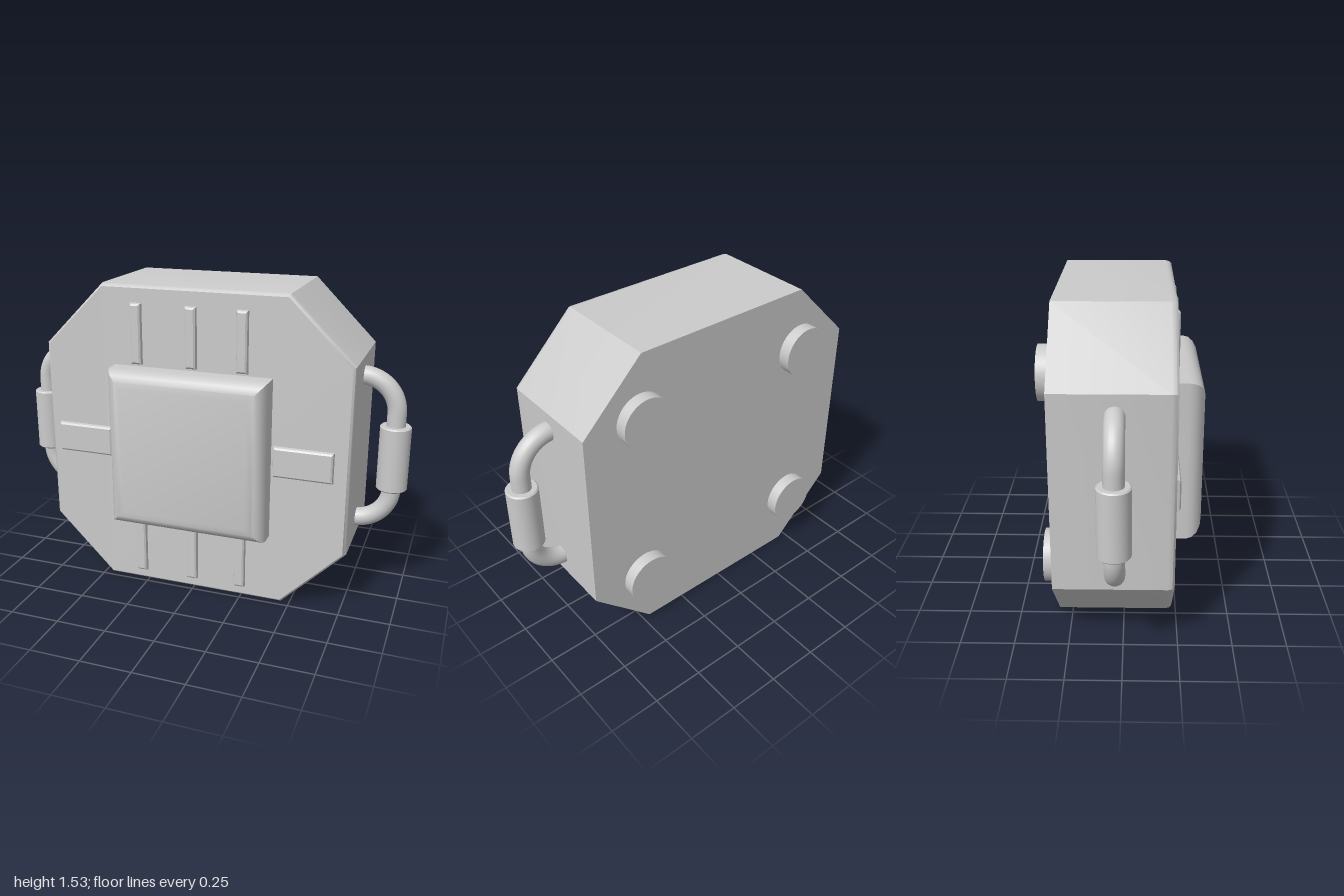
import * as THREE from 'three';
import { toCreasedNormals } from 'three/addons/utils/BufferGeometryUtils.js';

const material = new THREE.MeshStandardMaterial({ color: 0xcccccc });

// Convex outline (counterclockwise, from the inset) lofted through [z, inset] sections, closed at both ends
function loft(outline, sections, crease) {
  const rings = sections.map(([z, inset]) => outline(inset).map(([x, y]) => [x, y, z]));
  const n = rings[0].length;
  const index = [];
  for (let r = 0; r < rings.length - 1; r++) {
    for (let i = 0; i < n; i++) {
      const j = (i + 1) % n, a = r * n + i, b = r * n + j;
      index.push(a, b, b + n, a, b + n, a + n);
    }
  }
  const last = (rings.length - 1) * n;
  for (let i = 1; i < n - 1; i++) {
    index.push(0, i + 1, i);
    index.push(last, last + i, last + i + 1);
  }
  const geometry = new THREE.BufferGeometry();
  geometry.setAttribute('position', new THREE.Float32BufferAttribute(rings.flat(2), 3));
  geometry.setIndex(index);
  return toCreasedNormals(geometry, crease);
}

const rectangle = (w, h) => (inset) => {
  const x = w / 2 - inset, y = h / 2 - inset;
  return [[-x, -y], [x, -y], [x, y], [-x, y]];
};

// Octagon with wide diagonal corners
const octagon = (inset) => {
  const f = 0.766 - inset, c = 0.46 - inset * 0.41;
  return [[-c, -f], [c, -f], [f, -c], [f, c], [c, f], [-c, f], [-f, c], [-f, -c]];
};

export function createModel() {
  const model = new THREE.Group();
  const add = (name, geometry, x, y, z, parent = model) => {
    const mesh = new THREE.Mesh(geometry, material);
    mesh.name = name;
    mesh.position.set(x, y, z);
    parent.add(mesh);
    return mesh;
  };
  const midY = 0.766;

  // Body, chamfered at the front only
  add('body', loft(octagon, [[-0.315, 0], [0.2, 0], [0.22, 0.004], [0.23, 0.014]], 0.6), 0, midY, 0);

  // Raised square panel with rounded edges
  const panelSections = [[0.2, 0]];
  for (let i = 0; i <= 4; i++) {
    const a = (i / 4) * Math.PI / 2;
    panelSections.push([0.295 + 0.075 * Math.sin(a), 0.08 * (1 - Math.cos(a))]);
  }
  add('frontPanel', loft(rectangle(0.787, 0.79), panelSections, 0.6), -0.002, 0.75, 0);

  // Thin raised strips around the panel
  const strip = (w, h) => loft(rectangle(w, h), [[0.2, 0], [0.232, 0], [0.244, 0.004], [0.25, 0.012]], 0.6);
  for (const x of [-0.28, -0.005, 0.245]) {
    add('upperRib', strip(0.058, 0.295), x, 1.302, 0);
    add('lowerRib', strip(0.058, 0.29), x, 0.2, 0);
  }
  add('rightStrip', strip(0.29, 0.153), -0.568, 0.745, 0);
  add('leftStrip', strip(0.29, 0.153), 0.546, 0.745, 0);

  // Round feet on the back
  const footGeometry = new THREE.CylinderGeometry(0.125, 0.125, 0.08, 40).rotateX(Math.PI / 2);
  for (const x of [-0.473, 0.473]) {
    for (const y of [0.31, 1.22]) add('backFoot', footGeometry, x, y, -0.333);
  }

  // Side handles: bent rod with a thicker grip
  const top = 1.13, bottom = 0.403, outer = 0.926, r = 0.17;
  const v = (x, y) => new THREE.Vector3(x, y, 0);
  const k = r * 0.448;
  const path = new THREE.CurvePath();
  path.add(new THREE.LineCurve3(v(0.7, top), v(outer - r, top)));
  path.add(new THREE.CubicBezierCurve3(v(outer - r, top), v(outer - k, top), v(outer, top - k), v(outer, top - r)));
  path.add(new THREE.LineCurve3(v(outer, top - r), v(outer, bottom + r)));
  path.add(new THREE.CubicBezierCurve3(v(outer, bottom + r), v(outer, bottom + k), v(outer - k, bottom), v(outer - r, bottom)));
  path.add(new THREE.LineCurve3(v(outer - r, bottom), v(0.7, bottom)));
  const rodGeometry = new THREE.TubeGeometry(path, 72, 0.045, 20);
  const gripProfile = [[0, -0.16], [0.068, -0.16], [0.074, -0.154], [0.074, 0.154], [0.068, 0.16], [0, 0.16]]
    .map(([x, y]) => new THREE.Vector2(x, y));
  const gripGeometry = toCreasedNormals(new THREE.LatheGeometry(gripProfile, 32), 0.5);
  for (const side of [1, -1]) {
    const handle = new THREE.Group();
    handle.name = side > 0 ? 'leftHandle' : 'rightHandle';
    add('handleRod', rodGeometry, 0, 0, 0, handle);
    add('handleGrip', gripGeometry, outer, 0.736, 0, handle);
    // Turned half round for the other side, keeping the same depth
    handle.rotation.y = side > 0 ? 0 : Math.PI;
    handle.position.z = -0.033;
    model.add(handle);
  }

  return model;
}
